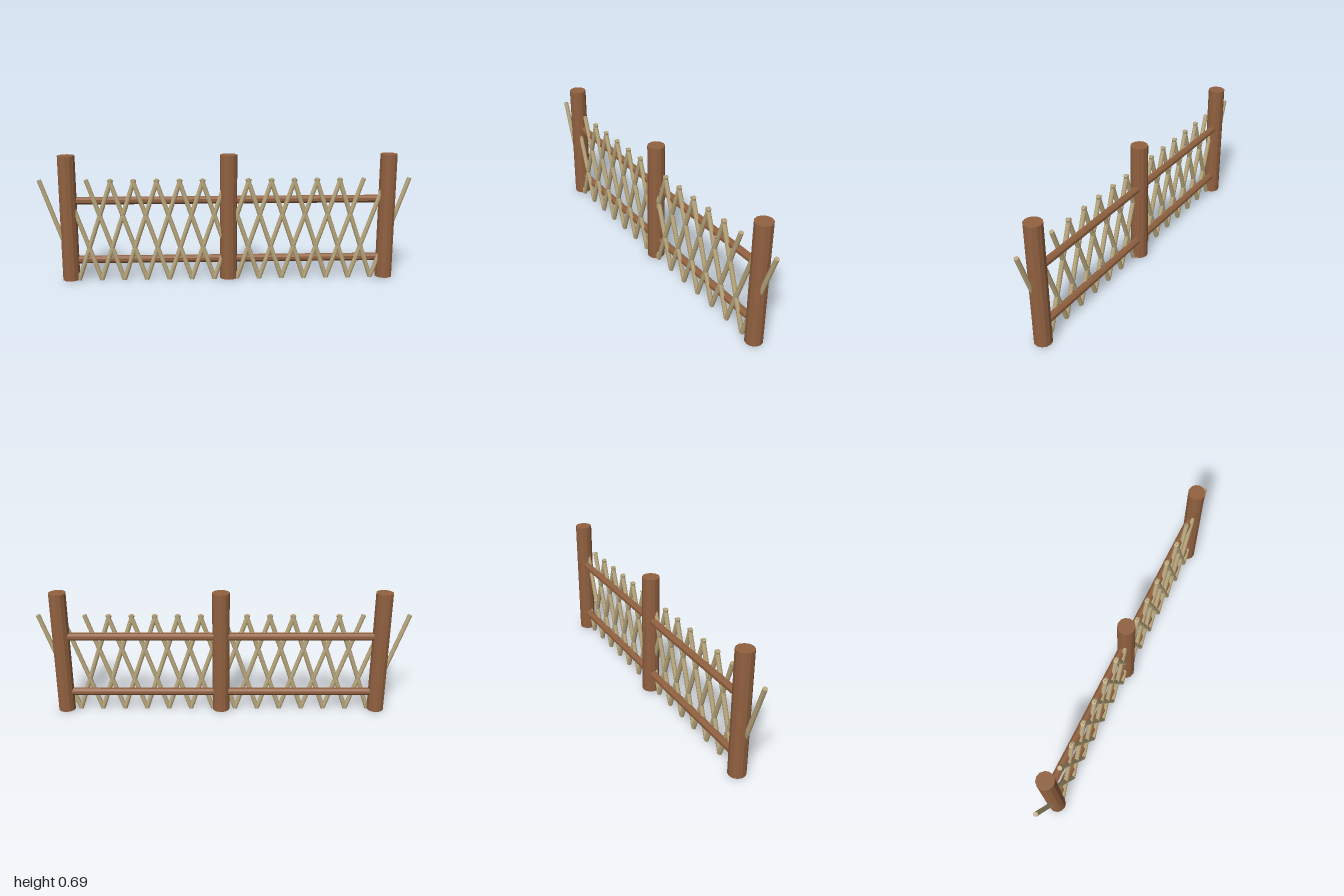
import * as THREE from 'three';

export function createModel() {
  const group = new THREE.Group();
  group.name = 'latticeFence';
  const brownWood = new THREE.MeshStandardMaterial({ color: 0x916140, flatShading: true });
  brownWood.name = 'brownWood';
  const paleWood = new THREE.MeshStandardMaterial({ color: 0xb8a67c, flatShading: true });
  paleWood.name = 'paleWood';

  const add = (name, geometry, material, x, y, z, tilt = 0) => {
    const mesh = new THREE.Mesh(geometry, material);
    mesh.name = name;
    mesh.position.set(x, y, z);
    mesh.rotation.z = tilt;
    group.add(mesh);
  };

  // three upright posts
  const middle = 0.016, span = 0.86;
  const postGeometry = new THREE.CylinderGeometry(0.0465, 0.0465, 0.683, 12);
  for (const i of [-1, 0, 1]) add('post', postGeometry, brownWood, middle + i * span, 0.3465, 0);

  // two horizontal rails running through the posts, a flat facet to the front
  const railGeometry = new THREE.CylinderGeometry(0.021, 0.021, 2 * span, 8, 1, false, Math.PI / 8);
  for (const y of [0.114, 0.442]) add('rail', railGeometry, brownWood, middle, y, -0.006, Math.PI / 2);

  // crossed lattice sticks, leaning alternately left and right
  const count = 14, pitch = 0.123, lean = 0.19, rise = 0.555;
  const stickGeometry = new THREE.CylinderGeometry(0.0122, 0.0122, Math.hypot(lean, rise), 12);
  for (let i = 0; i < count; i++) {
    const foot = (i - (count - 1) / 2) * pitch;
    for (const side of [-1, 1]) {
      add(side < 0 ? 'leftLeaningStick' : 'rightLeaningStick', stickGeometry, paleWood,
        foot + side * lean / 2, 0.2815, 0.0115, -side * Math.atan2(lean, rise));
    }
  }
  return group;
}
